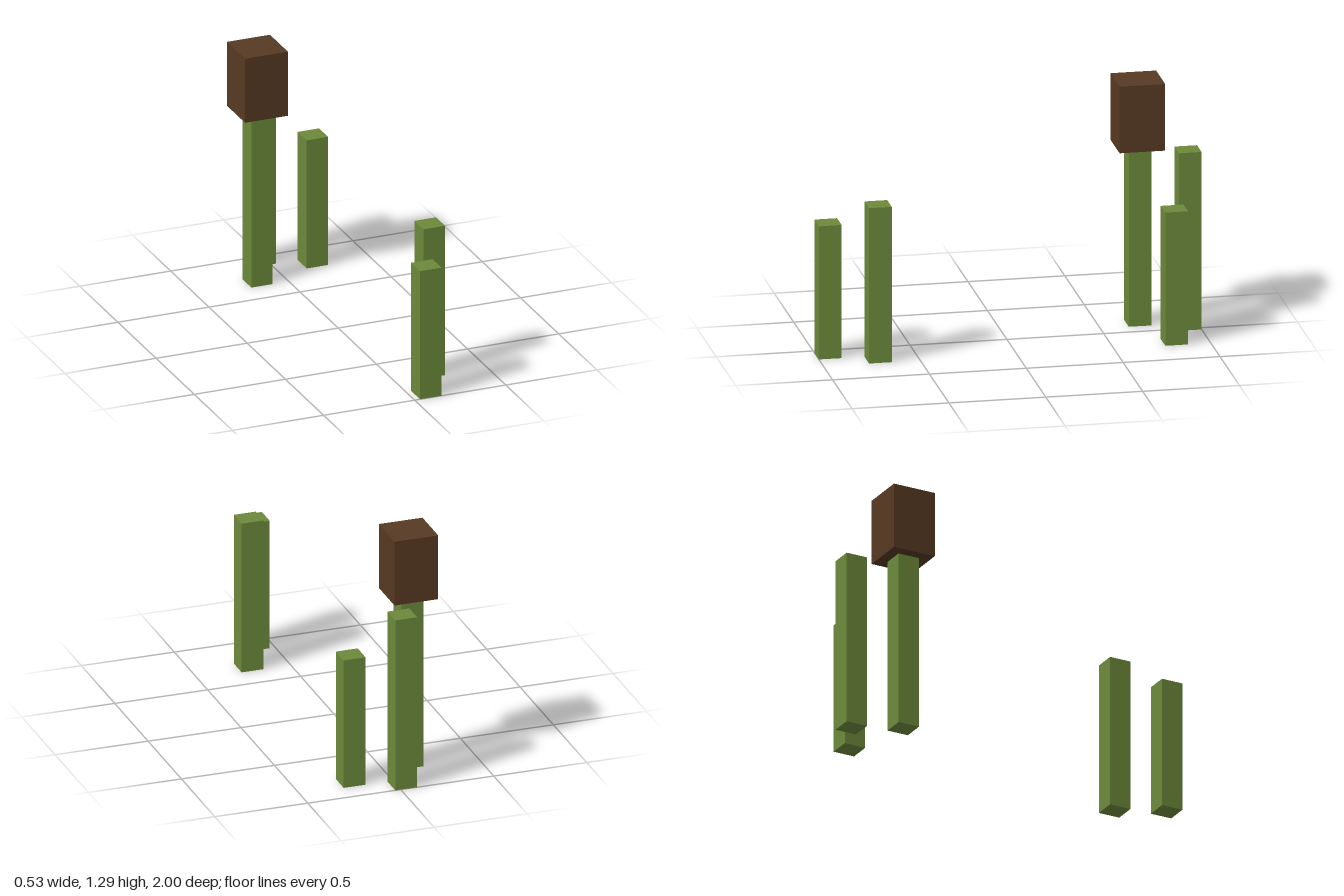
import * as THREE from 'three';

// Grid unit: the model is 17 units long
const U = 2 / 17;

export function createModel() {
  const group = new THREE.Group();
  const green = new THREE.MeshStandardMaterial({ name: 'reed green', color: 0x6d8a3b });
  const brown = new THREE.MeshStandardMaterial({ name: 'seed head brown', color: 0x573a23 });

  // Box standing on height y, sizes and positions in grid units
  const addBox = (name, material, width, height, x, y, z) => {
    const mesh = new THREE.Mesh(new THREE.BoxGeometry(width * U, height * U, width * U), material);
    mesh.position.set(x * U, (y + height / 2) * U, z * U);
    mesh.name = name;
    group.add(mesh);
  };

  // Stalks: x, z, height
  const stalks = [
    [-1.25, -6, 8],
    [-0.25, -8, 8],
    [1.75, -7, 6],
    [1.75, 6, 7],
    [0.75, 8, 6],
  ];
  stalks.forEach(([x, z, h], i) => addBox(`stalk${i + 1}`, green, 1, h, x, 0, z));

  // Seed head on top of the first stalk
  addBox('seedHead', brown, 2, 3, -1.25, 8, -6);

  return group;
}
